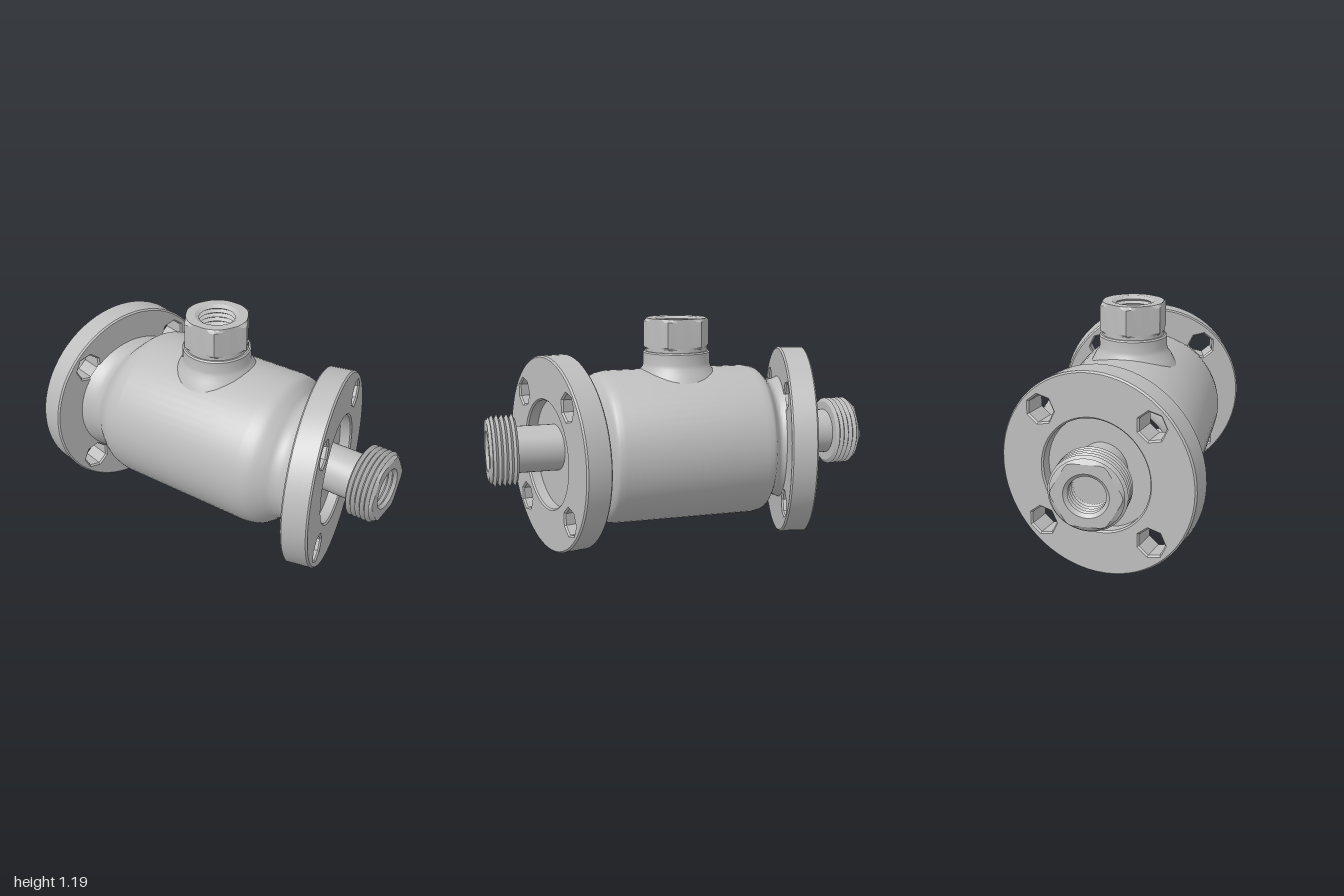
import * as THREE from 'three';
import { toCreasedNormals } from 'three/addons/utils/BufferGeometryUtils.js';

const TILT = 0.234; // each flange is swung about the vertical axis
const steel = new THREE.MeshStandardMaterial({ color: 0xbdbdbd });
steel.name = 'steel grey';

const v2 = ([x, y]) => new THREE.Vector2(x, y);

function part(name, geometry, crease = 0.6) {
  const mesh = new THREE.Mesh(toCreasedNormals(geometry, crease), steel);
  mesh.name = name;
  return mesh;
}

// Turned part: profile of [radius, height] points about y
function turned(points, segments = 48) {
  return new THREE.LatheGeometry(points.map(v2), segments);
}

// Zigzag thread profile between two heights
function thread(rOuter, rInner, from, to, teeth) {
  const points = [];
  for (let i = 0; i <= teeth * 2; i++) {
    points.push([i % 2 ? rOuter : rInner, from + (to - from) * i / (teeth * 2)]);
  }
  return points;
}

// Cuts a turned part to a hexagon wherever cut(height) is true
function hexCut(geometry, apothem, cut, turn = 0) {
  const p = geometry.attributes.position;
  for (let i = 0; i < p.count; i++) {
    if (!cut(p.getY(i))) continue;
    const x = p.getX(i), z = p.getZ(i), r = Math.hypot(x, z);
    const sector = Math.PI / 3;
    let a = Math.atan2(z, x) + turn + Math.PI * 4;
    a = (a % sector) - sector / 2;
    const limit = apothem / Math.cos(a);
    if (r > limit) {
      p.setX(i, x * limit / r);
      p.setZ(i, z * limit / r);
    }
  }
  return geometry;
}

// Barrel whose ends narrow to a neck and lean to meet the flanges
function makeBody() {
  const end = new THREE.SplineCurve([[0.415, 0.37], [0.402, 0.425], [0.365, 0.468],
    [0.338, 0.495], [0.328, 0.53], [0.345, 0.58]].map(v2)).getPoints(20).map(p => [p.x, p.y]);
  const start = end.map(([r, h]) => [r, -h]).reverse();
  const geometry = turned([...start, ...end], 64);
  geometry.rotateZ(-Math.PI / 2);
  const p = geometry.attributes.position;
  for (let i = 0; i < p.count; i++) {
    const x = p.getX(i), z = p.getZ(i);
    const lean = THREE.MathUtils.clamp((Math.abs(x) - 0.4) / 0.175, 0, 1);
    p.setX(i, x + Math.sign(x) * lean * Math.tan(TILT) * z);
  }
  geometry.scale(1, 0.965, 1.01);
  const body = part('body', geometry);
  body.position.set(0, 0.528, 0.01);
  return body;
}

// Round plate with a central recess and four bolt holes
function makeFlange() {
  const flange = new THREE.Group();
  flange.name = 'flange';
  const shape = new THREE.Shape().absarc(0, 0, 0.507, 0, Math.PI * 2);
  shape.holes.push(new THREE.Path().absarc(0, 0, 0.28, 0, Math.PI * 2, true));
  for (let k = 0; k < 4; k++) {
    const a = Math.PI / 4 + k * Math.PI / 2;
    const points = [];
    for (let j = 0; j < 7; j++) {
      const b = -j * Math.PI * 2 / 7;
      points.push([0.405 * Math.cos(a) + 0.07 * Math.cos(b), 0.405 * Math.sin(a) + 0.07 * Math.sin(b)]);
    }
    shape.holes.push(new THREE.Path(points.map(v2)));
  }
  const plate = new THREE.ExtrudeGeometry(shape, {
    depth: 0.119, curveSegments: 36, bevelEnabled: true, bevelSegments: 1,
    bevelSize: 0.008, bevelThickness: 0.008, bevelOffset: -0.008,
  });
  plate.translate(0, 0, -0.0595).rotateY(Math.PI / 2);
  const floor = new THREE.CircleGeometry(0.285, 48).rotateY(Math.PI / 2).translate(0.007, 0, 0);
  flange.add(part('flangePlate', plate), part('recessFloor', floor));
  return flange;
}

// Pipe stub ending in a threaded fitting with a threaded bore
function makeFitting() {
  const fitting = new THREE.Group();
  fitting.name = 'endFitting';
  const pipe = new THREE.CylinderGeometry(0.12, 0.12, 0.32, 40, 1, true).translate(0, 0.71, 0);
  const connector = turned([
    [0.115, 0.857], ...thread(0.183, 0.163, 0.857, 0.982, 5),
    [0.172, 0.986], [0.165, 1.0], [0.105, 1.0],
    ...thread(0.105, 0.088, 0.985, 0.89, 4), [0, 0.89],
  ]);
  hexCut(connector, 0.148, h => h > 0.99, Math.PI / 6);
  fitting.add(part('pipeStub', pipe), part('threadedConnector', connector, 0.5));
  fitting.children.forEach(m => m.geometry.rotateZ(-Math.PI / 2));
  return fitting;
}

// Collar and hexagonal nut on top of the barrel
function makePort() {
  const port = new THREE.Group();
  port.name = 'topPort';
  const collar = turned([[0.225, 0.86], [0.198, 0.915], [0.18, 0.94], [0.175, 0.96],
    [0.175, 1.015], [0.168, 1.022], [0.16, 1.022], [0.16, 1.045]]);
  const nut = hexCut(turned([
    [0.11, 1.036], [0.16, 1.036], [0.178, 1.048], [0.178, 1.178], [0.158, 1.193], [0.11, 1.193],
    ...thread(0.108, 0.09, 1.18, 1.06, 5), [0, 1.06],
  ]), 0.155, () => true);
  port.add(part('portCollar', collar), part('portNut', nut, 0.3));
  port.position.z = 0.018;
  return port;
}

export function createModel() {
  const model = new THREE.Group();
  model.name = 'flangedValve';
  model.add(makeBody(), makePort());
  for (const side of [1, -1]) {
    const end = new THREE.Group();
    end.name = side > 0 ? 'leftEnd' : 'rightEnd';
    if (side < 0) end.rotation.y = Math.PI;
    const flange = makeFlange();
    flange.position.set(0.64, 0.512, -0.004 * side);
    flange.rotation.y = side * TILT;
    const fitting = makeFitting();
    fitting.position.set(0, 0.542, 0.012 * side);
    end.add(flange, fitting);
    model.add(end);
  }
  return model;
}
